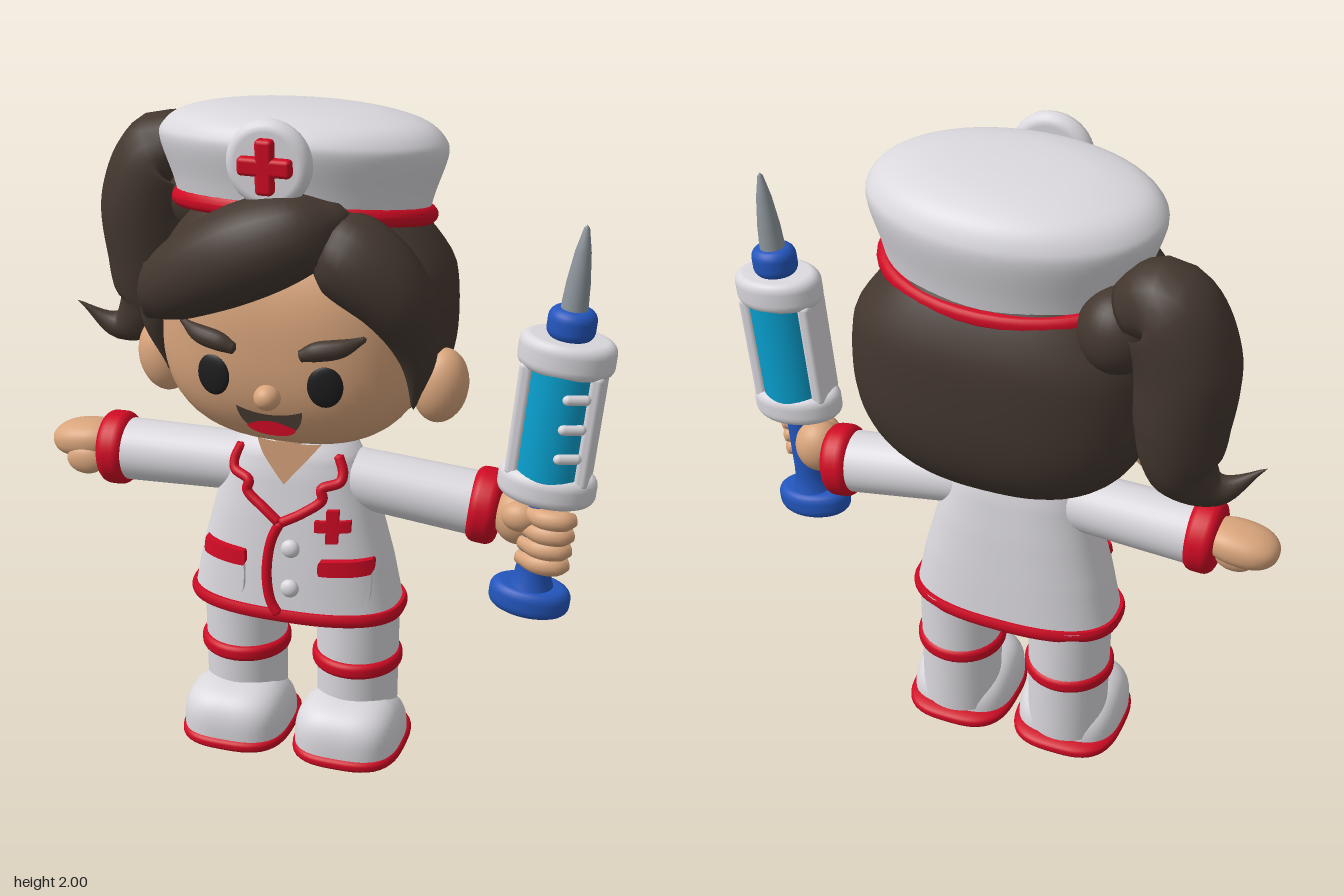
import * as THREE from 'three';
import { mergeVertices } from 'three/addons/utils/BufferGeometryUtils.js';
import { RoundedBoxGeometry } from 'three/addons/geometries/RoundedBoxGeometry.js';

const paint = (name, color) => Object.assign(new THREE.MeshStandardMaterial({ color }), { name });
const V = (x, y, z) => new THREE.Vector3(x, y, z);
const CX = -0.068; // middle of the body

export function createModel() {
  const model = new THREE.Group();
  const white = paint('white cloth', 0xdad8dd), red = paint('red trim', 0xcf0a24), skin = paint('skin', 0xd9a57c),
    hair = paint('dark brown hair', 0x43372f), black = paint('black eyes', 0x1d1d1f), blue = paint('blue plastic', 0x2356bd),
    cyan = paint('cyan liquid', 0x089fce), steel = paint('grey steel', 0x8d959b);

  const add = (name, geo, mat, p = [0, 0, 0], parent = model) => {
    const m = new THREE.Mesh(geo, mat);
    m.name = name;
    m.position.set(...p);
    parent.add(m);
    return m;
  };
  const warp = (geo, rule) => {
    const a = geo.attributes.position, v = V(0, 0, 0);
    for (let i = 0; i < a.count; i++) { rule(v.fromBufferAttribute(a, i), i); a.setXYZ(i, v.x, v.y, v.z); }
    return geo;
  };
  const smooth = (geo, keepEdges) => {
    geo.deleteAttribute('uv');
    if (!keepEdges) geo.deleteAttribute('normal');
    const g = mergeVertices(geo, 1e-4);
    g.computeVertexNormals();
    return g;
  };
  const ball = (name, mat, p, r, parent) => {
    const m = add(name, new THREE.SphereGeometry(1, 28, 20), mat, p, parent);
    m.scale.set(...r);
    return m;
  };
  // boxy ellipsoid, with an optional extra rule for its points
  const blob = (r, n, rule = () => {}) => smooth(warp(new THREE.SphereGeometry(1, 56, 40), v => {
    const s = (Math.abs(v.x) ** n + Math.abs(v.y) ** n + Math.abs(v.z) ** n) ** (-1 / n);
    v.set(v.x * s * r[0], v.y * s * r[1], v.z * s * r[2]);
    rule(v);
  }));
  // elliptical disc with rounded rims, centred on its own y axis
  const puck = (name, mat, p, rx, rz, h, parent, b = Math.min(h / 2, 0.03)) => {
    const pts = [[0, -h / 2]];
    for (const [end, from] of [[-1, -90], [1, 0]])
      for (let i = 0; i <= 5; i++) {
        const a = THREE.MathUtils.degToRad(from + i * 18);
        pts.push([rx - b + b * Math.cos(a), end * (h / 2 - b) + b * Math.sin(a)]);
      }
    pts.push([0, h / 2]);
    const m = add(name, new THREE.LatheGeometry(pts.map(q => new THREE.Vector2(...q)), 40), mat, p, parent);
    m.scale.z = rz / rx;
    return m;
  };
  // tube whose thickness follows a list of radii
  const lock = (name, mat, pts, radii, n = 36) => {
    const curve = new THREE.CatmullRomCurve3(pts.map(p => V(...p)));
    const width = new THREE.SplineCurve(radii.map((r, i) => new THREE.Vector2(i, r)));
    const geo = warp(new THREE.TubeGeometry(curve, n, 1, 16), (v, i) => {
      const ring = Math.floor(i / 17), u = ring / n, c = curve.getPointAt(u);
      const r = ring % n === 0 ? 0.0005 : Math.max(width.getPoint(curve.getUtoTmapping(u)).y, 0.002);
      v.sub(c).multiplyScalar(r).add(c);
    });
    return add(name, smooth(geo), mat);
  };
  const along = (m, a, b) => m.quaternion.setFromUnitVectors(V(0, 1, 0), b.clone().sub(a).normalize());
  const limb = (name, mat, a, b, ra, rb) => {
    const m = add(name, new THREE.CylinderGeometry(rb, ra, a.distanceTo(b), 32), mat, a.clone().lerp(b, 0.5).toArray());
    along(m, a, b);
  };

  // dress: rows of y, half width, half depth
  const rows = [[0.49, 0.322, 0.168], [0.65, 0.29, 0.156], [0.8, 0.25, 0.143], [0.93, 0.212, 0.128], [0.99, 0.185, 0.115], [1.03, 0.13, 0.09]];
  const dressAt = y => {
    let i = 0;
    while (i < rows.length - 2 && y > rows[i + 1][0]) i++;
    const t = THREE.MathUtils.clamp((y - rows[i][0]) / (rows[i + 1][0] - rows[i][0]), 0, 1);
    return [1, 2].map(k => rows[i][k] + (rows[i + 1][k] - rows[i][k]) * t);
  };
  const dressZ = (x, y) => {
    const [rx, rz] = dressAt(y);
    return rz * Math.max(0.02, 1 - Math.abs((x - CX) / rx) ** 2.5) ** 0.4;
  };
  const square = s => Math.sign(s) * Math.abs(s) ** 0.8;
  add('dress', smooth(warp(new THREE.CylinderGeometry(1, 1, 0.54, 56, 27), v => {
    const [rx, rz] = dressAt(v.y + 0.76);
    v.set(square(v.x) * rx + CX, v.y + 0.76, square(v.z) * rz);
  }), true), white);
  add('hem', smooth(warp(new THREE.CylinderGeometry(1, 1, 0.038, 56, 4), v => {
    const bulge = 0.011 - 16 * v.y * v.y;
    v.set(square(v.x) * (0.322 + bulge) + CX, v.y + 0.497, square(v.z) * (0.168 + bulge));
  }), true), red);

  // neckline, collar edging and front edging
  add('neckline', warp(new THREE.PlaneGeometry(2, 0.115, 12, 10), v => {
    const rise = v.y / 0.115 + 0.5;
    v.set(CX + v.x * 0.098 * rise, v.y + 0.968, 0);
    v.z = dressZ(v.x, v.y) + 0.008;
  }), skin);
  add('neck', new THREE.CylinderGeometry(0.11, 0.11, 0.16, 28), skin, [CX, 1.04, -0.01]);
  const edging = (name, pts) => lock(name, red, pts.map(([x, y]) => [x, y, dressZ(x, y) + 0.006]), pts.map(() => 0.015), 50);
  for (const s of [-1, 1])
    edging('collarEdging', [[0.145, 1.0], [0.165, 0.95], [0.16, 0.925], [0.11, 0.905], [0.115, 0.875], [0.06, 0.83], [-0.01 * s, 0.79]].map(([x, y]) => [CX + s * x, y]));
  edging('frontEdging', [[-0.075, 0.795], [-0.1, 0.74], [-0.113, 0.67], [-0.113, 0.6], [-0.1, 0.54], [-0.075, 0.5]]);
  for (const y of [0.715, 0.59]) ball('button', white, [-0.043, y, dressZ(-0.043, y) + 0.005], [0.028, 0.028, 0.02]);

  // pockets and chest cross follow the cloth; round softens the corners
  const patch = (name, mat, x, y, w, h, d, round = 0) => add(name, smooth(warp(new THREE.BoxGeometry(w, h, d, 12, 8, 1), v => {
    const a = v.x * 2 / w, b = v.y * 2 / h;
    v.x = x + v.x * (1 - round * b ** 4);
    v.y = y + v.y * (1 - round * a ** 4);
    v.z += dressZ(v.x, v.y);
  }), true), mat);
  for (const s of [-1, 1]) {
    patch('pocket', white, CX + s * 0.187, 0.607, 0.142, 0.12, 0.032, 0.12);
    patch('pocketTrim', red, CX + s * 0.187, 0.668, 0.15, 0.046, 0.046, 0.06);
  }
  patch('chestCross', red, 0.078, 0.793, 0.1, 0.034, 0.026);
  patch('chestCross', red, 0.078, 0.793, 0.034, 0.1, 0.026);

  // legs and shoes
  for (const x of [CX - 0.179, CX + 0.179]) {
    add('leg', new THREE.CylinderGeometry(0.127, 0.123, 0.44, 36), white, [x, 0.29, -0.028]);
    puck('legBand', red, [x, 0.3, -0.024], 0.138, 0.138, 0.05, model, 0.018);
    add('shoe', blob([0.162, 0.138, 0.166], 3, v => { v.y = Math.max(v.y - Math.max(0, -v.z) * 0.2, -0.01); }), white, [x, 0.06, 0.037]);
    add('sole', blob([0.17, 0.032, 0.19], 3), red, [x, 0.034, 0.025]);
    puck('solePatch', white, [x, 0.0035, 0.03], 0.085, 0.1, 0.007);
  }

  // arms and cuffs
  for (const [a, b] of [[V(-0.2, 0.905, 0), V(-0.64, 0.893, -0.005)], [V(0.06, 0.905, 0), V(0.495, 0.855, -0.02)]]) {
    limb('sleeve', white, a, b, 0.088, 0.095);
    ball('shoulder', white, a.toArray(), [0.088, 0.088, 0.088]);
    along(puck('cuff', red, b.toArray(), 0.113, 0.106, 0.088), a, b);
  }
  // pointing hand
  add('pointingHand', blob([0.11, 0.056, 0.078], 2.3), skin, [-0.75, 0.907, -0.02]).rotation.z = 0.12;
  for (let i = 0; i < 3; i++) ball('curledFinger', skin, [-0.735, 0.858, -0.03 + i * 0.036], [0.06, 0.045, 0.028]);
  // gripping hand
  ball('palm', skin, [0.6, 0.855, 0.02], [0.075, 0.085, 0.07]);
  for (let i = 0; i < 4; i++) {
    const y = 0.897 - i * 0.047, x = 0.008 - i * 0.005;
    lock('grippingFinger', skin, [[0.62 + x, y, 0.07], [0.68 + x, y, 0.108], [0.735 + x, y, 0.105], [0.765 + x, y, 0.085]], [0.022, 0.029, 0.03, 0.018]);
  }
  ball('thumb', skin, [0.615, 0.88, 0.075], [0.055, 0.045, 0.042]);

  // syringe
  const syringe = new THREE.Group();
  syringe.name = 'syringe';
  syringe.position.set(0.645, 0.6, 0.055);
  syringe.rotation.z = -0.093;
  model.add(syringe);
  puck('plungerFoot', blue, [0, 0.025, 0], 0.118, 0.082, 0.082, syringe);
  const rod = [[0.07, 0.05], [0.055, 0.085], [0.049, 0.13], [0.047, 0.36]].map(p => new THREE.Vector2(...p));
  add('plungerRod', new THREE.LatheGeometry(rod, 28), blue, [0, 0, 0], syringe);
  puck('lowerFlange', white, [0, 0.388, 0], 0.14, 0.098, 0.09, syringe);
  add('liquid', new THREE.CylinderGeometry(0.1, 0.1, 0.33, 36), cyan, [0, 0.58, 0], syringe).scale.z = 0.92;
  for (const s of [-1, 1]) add('barrelSide', new RoundedBoxGeometry(0.04, 0.34, 0.12, 3, 0.015), white, [s * 0.097, 0.58, 0], syringe);
  for (let i = 0; i < 3; i++) {
    const tick = add('measureMark', new THREE.CapsuleGeometry(0.015, 0.05, 4, 10), white, [0.055, 0.505 + i * 0.088, 0.077], syringe);
    tick.rotation.set(0, 0.5, Math.PI / 2);
  }
  puck('upperFlange', white, [0, 0.78, 0], 0.135, 0.098, 0.098, syringe);
  puck('nozzle', blue, [0, 0.866, 0], 0.067, 0.062, 0.09, syringe);
  const needle = [[0.038, 0.9], [0.033, 0.98], [0.022, 1.07], [0.008, 1.135], [0, 1.145]].map(p => new THREE.Vector2(...p));
  add('needle', new THREE.LatheGeometry(needle, 24), steel, [0, 0, 0], syringe);

  // head, ears and face
  const R = [0.39, 0.342, 0.29], N = 2.6, HY = 1.36, HZ = -0.02;
  add('head', blob(R, N), skin, [CX, HY, HZ]);
  const faceZ = (dx, y) => HZ + R[2] * (1 - Math.abs(dx / R[0]) ** N - Math.abs((y - HY) / R[1]) ** N) ** (1 / N);
  for (const s of [-1, 1]) {
    ball('ear', skin, [CX + s * 0.418, 1.21, -0.02], [0.08, 0.112, 0.075]).rotation.z = -s * 0.15;
    ball('eye', black, [CX + s * 0.162, 1.277, faceZ(0.162, 1.277)], [0.05, 0.06, 0.014]).rotation.y = s * 0.2;
    lock('eyebrow', hair, [[0.09, 1.362], [0.14, 1.38], [0.205, 1.392], [0.268, 1.418]].map(([x, y]) => [CX + s * x, y, faceZ(x, y)]), [0.016, 0.028, 0.026, 0.008]);
  }
  ball('nose', skin, [CX, 1.233, 0.272], [0.038, 0.036, 0.038]);
  const grin = (name, mat, w, y, top, low, off) => {
    const s = new THREE.Shape();
    s.moveTo(-w, y);
    s.bezierCurveTo(-w * 0.9, low, w * 0.9, low, w, y);
    s.quadraticCurveTo(0, top, -w, y);
    add(name, warp(new THREE.ShapeGeometry(s, 20), v => { v.z = faceZ(v.x, v.y) + off; v.x += CX; }), mat);
  };
  grin('mouth', hair, 0.097, 1.195, 1.155, 1.063, 0.01);
  grin('tongue', red, 0.072, 1.132, 1.178, 1.086, 0.016);

  // hair: back mass is cut away behind the ears and drawn in under the hat
  add('backHair', blob([0.437, 0.38, 0.268], 2.5, v => {
    const t = THREE.MathUtils.clamp((v.y + 0.18) / 0.18, 0, 1), k = 1 - Math.max(0, v.y - 0.14) * 0.7;
    v.set(v.x * k, v.y, Math.min(v.z * k, 0.01 + t * 0.26));
  }), hair, [CX, 1.4, -0.1]);
  lock('fringe', hair, [[-0.475, 1.385, 0.13], [-0.37, 1.5, 0.2], [-0.16, 1.625, 0.235], [0.02, 1.7, 0.22], [0.14, 1.745, 0.17]], [0.02, 0.1, 0.135, 0.112, 0.03]);
  lock('sideFringe', hair, [[0.03, 1.66, 0.16], [0.13, 1.635, 0.18], [0.26, 1.53, 0.175], [0.32, 1.36, 0.14], [0.305, 1.18, 0.11]], [0.06, 0.122, 0.11, 0.058, 0.006]);
  lock('sideburn', hair, [[-0.43, 1.52, 0.08], [-0.452, 1.37, 0.09], [-0.43, 1.2, 0.08]], [0.07, 0.055, 0.005]);
  ball('hairBun', hair, [-0.42, 1.65, -0.21], [0.11, 0.12, 0.11]);
  lock('ponytail', hair, [[-0.43, 1.72, -0.23], [-0.54, 1.765, -0.23], [-0.61, 1.62, -0.23], [-0.61, 1.42, -0.23], [-0.62, 1.28, -0.22], [-0.71, 1.215, -0.2], [-0.83, 1.29, -0.165]], [0.07, 0.125, 0.14, 0.128, 0.1, 0.048, 0.002], 56);

  // hat leans back at the brim and is nearly level on top
  const hat = new THREE.Group();
  hat.name = 'hat';
  hat.position.set(-0.07, 1.69, -0.055);
  model.add(hat);
  const crown = new THREE.SplineCurve([[0.88, 0.01], [0.92, 0.07], [1, 0.17], [0.975, 0.215], [0.85, 0.255], [0.6, 0.28], [0.3, 0.29], [0, 0.292]].map(([r, y]) => new THREE.Vector2(r * 0.412, y)));
  const crownGeo = new THREE.LatheGeometry(crown.getPoints(40).map(p => p.setX(Math.max(p.x, 0))), 56);
  add('hatCrown', smooth(warp(crownGeo, v => {
    v.z *= 0.645;
    v.y += v.z * (0.2 - v.y * 0.45);
  })), white, [0, 0, 0], hat);
  puck('hatBand', red, [0, 0, -0.008], 0.385, 0.258, 0.055, hat).rotation.x = -0.19;
  puck('badge', white, [-0.07, 1.88, 0.226], 0.12, 0.12, 0.06).rotation.x = Math.PI / 2;
  for (const [w, h] of [[0.15, 0.05], [0.05, 0.15]]) add('badgeCross', new RoundedBoxGeometry(w, h, 0.04, 3, 0.012), red, [-0.07, 1.88, 0.262]);

  return model;
}
